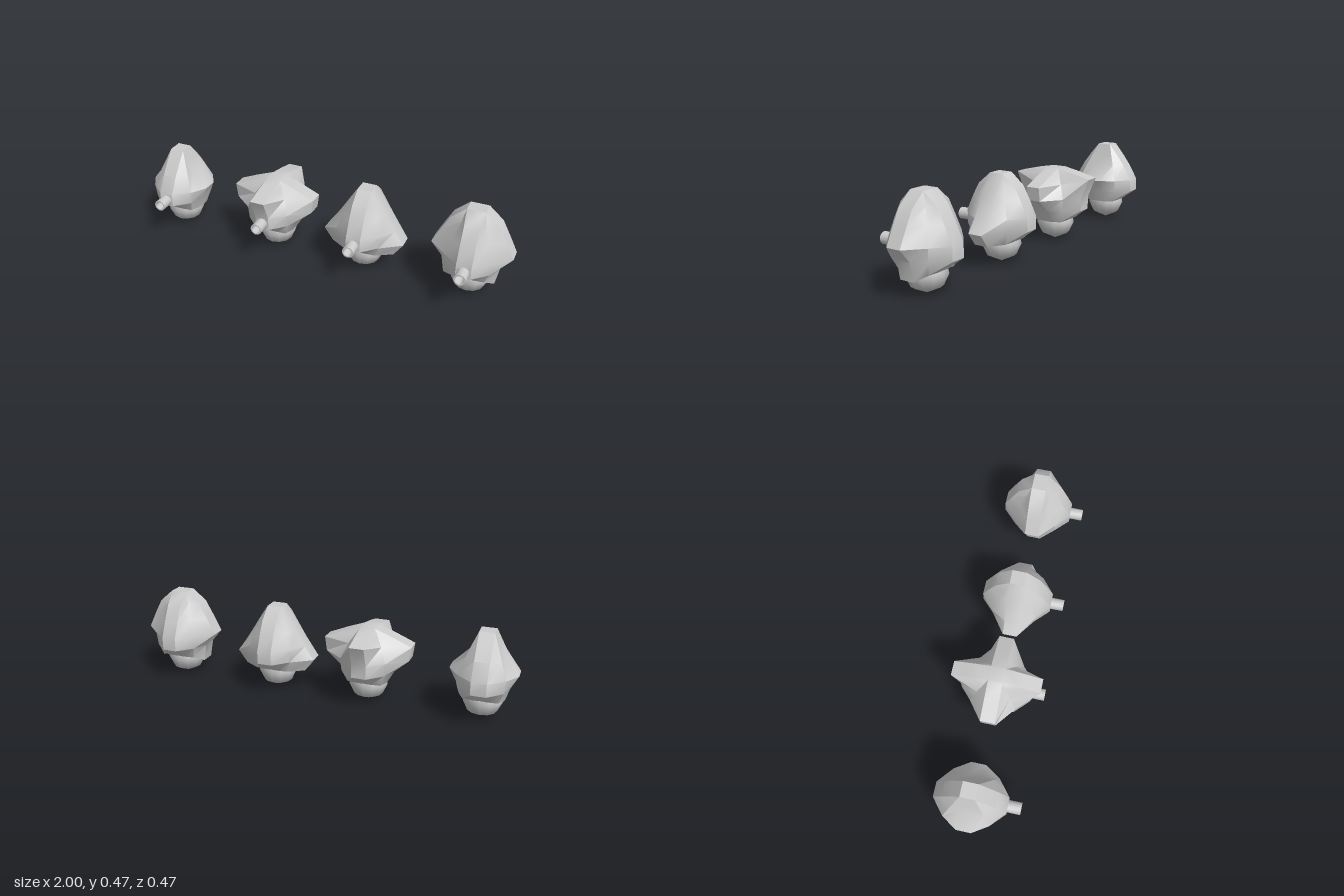
import * as THREE from 'three';
import { toCreasedNormals } from 'three/addons/utils/BufferGeometryUtils.js';

const material = new THREE.MeshStandardMaterial({ color: 0xcccccc, side: THREE.DoubleSide });
const RIB = 0.037; // half width of the flat ribs running up each side
const MID_Z = -0.033;

// Rules shared by all bodies, from the bottom section upwards
const LOW_HEIGHTS = [.115, .18, .247];
const LOW_FRONT = [.09, .18, .18];
const CORNER = [.085, .11, .115, .085, .06];

// Lofts twelve-sided sections: four flat ribs joined by four corners.
// side: rib reach in x per section, front: rib reach in z of the two upper sections,
// lift: how far the front ribs rise above the sides, drop: how far the side ribs hang down
function bodyGeometry({ upper, side, front, capX = RIB, lift = 0, drop = 0 }) {
  const heights = [...LOW_HEIGHTS, ...upper];
  const sideX = [...side, capX], frontZ = [...LOW_FRONT, ...front, RIB];
  const pos = [], index = [], n = 12, rows = heights.length, end = rows - 1;
  heights.forEach((y, r) => {
    const sx = sideX[r], fz = frontZ[r];
    const sy = r === 0 ? y - drop : y;
    const fy = r === 3 ? y + lift : r === 4 ? y + lift / 2 : y;
    const wx = r === end ? capX : RIB;
    const cx = r === end ? capX : Math.min(CORNER[r], sx), cz = r === end ? RIB : CORNER[r];
    pos.push(
      sx, sy, -RIB, sx, sy, RIB, cx, y, cz,
      wx, fy, fz, -wx, fy, fz, -cx, y, cz,
      -sx, sy, RIB, -sx, sy, -RIB, -cx, y, -cz,
      -wx, fy, -fz, wx, fy, -fz, cx, y, -cz);
  });
  // Centres of the top and bottom caps
  const top = rows * n, bottom = top + 1, last = end * n;
  pos.push(0, heights[end], 0, 0, heights[0], 0);
  for (let j = 0; j < n; j++) {
    const k = (j + 1) % n;
    for (let r = 0; r < end; r++) {
      const a = r * n + j, b = r * n + k;
      index.push(a, a + n, b, b, a + n, b + n);
    }
    index.push(top, last + k, last + j, bottom, j, k);
  }
  const geo = new THREE.BufferGeometry();
  geo.setAttribute('position', new THREE.Float32BufferAttribute(pos, 3));
  geo.setIndex(index);
  return toCreasedNormals(geo, 0.62);
}

function lathe(points, segments) {
  return new THREE.LatheGeometry(points.map(([x, y]) => new THREE.Vector2(x, y)), segments);
}

function part(name, geometry) {
  const mesh = new THREE.Mesh(geometry, material);
  mesh.name = name;
  return mesh;
}

export function createModel() {
  const model = new THREE.Group();
  model.name = 'turretSet';

  // Rounded ball under each body
  const ballGeo = lathe([[0, 0], [.075, .036], [.1, .09], [.09, .135], [.06, .17], [0, .19]], 12);
  // Hollow barrel, open at the muzzle
  const barrelGeo = toCreasedNormals(
    lathe([[.03, -.02], [.03, .066], [.023, .066], [.023, .005], [0, .005]], 12), 0.7);
  barrelGeo.rotateX(Math.PI / 2);

  function addTurret(name, x, shape) {
    const turret = new THREE.Group();
    turret.name = name;
    turret.position.set(x, 0, MID_Z);
    const barrel = part('barrel', barrelGeo);
    barrel.position.set(0, 0.21, 0.18);
    turret.add(part('body', bodyGeometry(shape)), part('ball', ballGeo), barrel);
    model.add(turret);
  }

  addTurret('pearTurret', -0.835, {
    upper: [.33, .39, .447], side: [.11, .13, .165, .085, .06], front: [.13, .085],
  });
  addTurret('crossTurret', -0.255, {
    upper: [.32, .36, .395], side: [.105, .14, .215, .225, .13], front: [.225, .13], lift: .033,
  });
  addTurret('wideBaseTurret', 0.247, {
    upper: [.33, .39, .447], side: [.165, .213, .165, .112, .075], front: [.14, .105],
  });
  addTurret('ridgedTurret', 0.8, {
    upper: [.33, .405, .467], side: [.127, .143, .2, .158, .117], front: [.142, .103],
    capX: .045, drop: .027,
  });
  return model;
}
